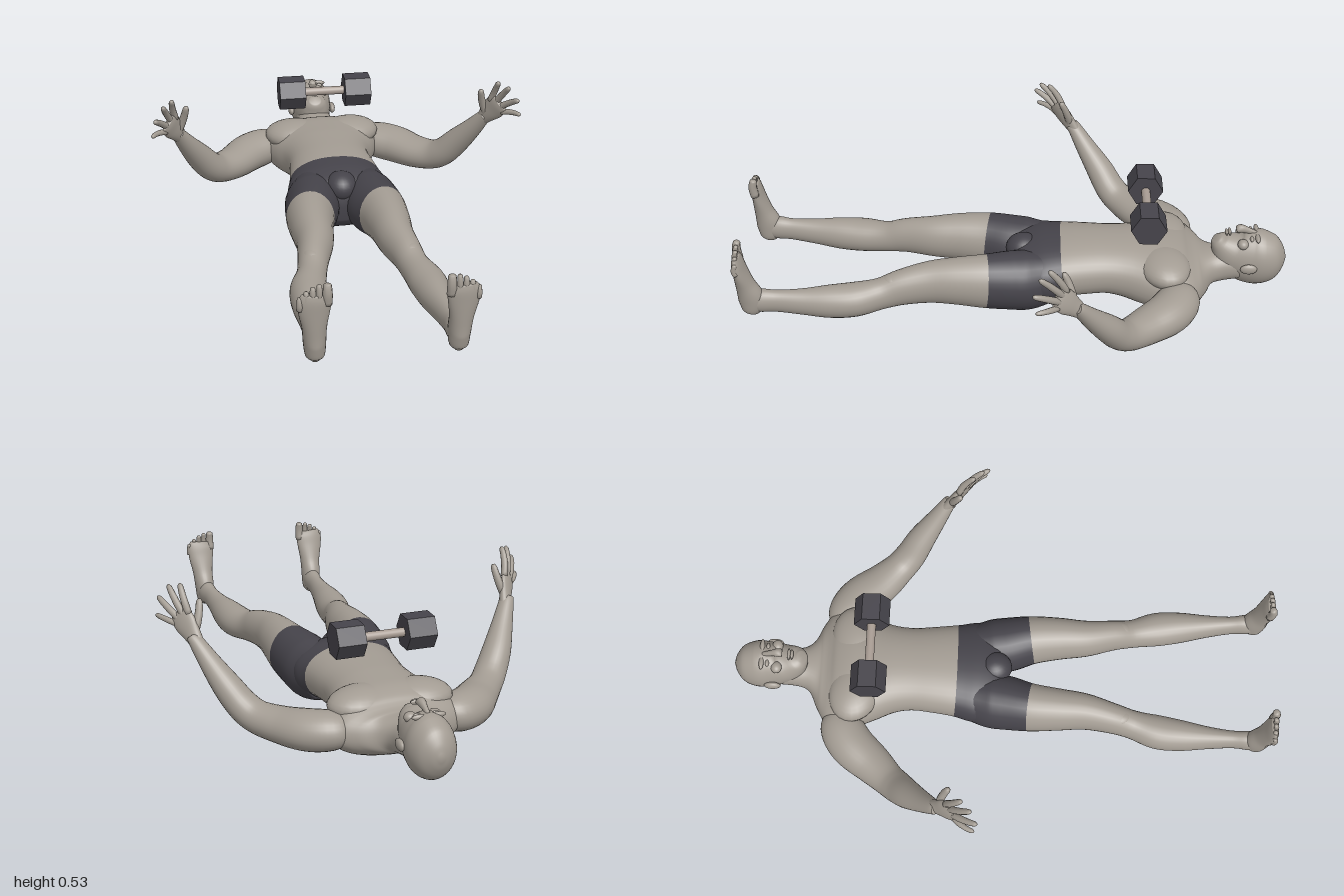
import * as THREE from 'three';

const skin = new THREE.MeshStandardMaterial({ color: 0xa39c93 });
skin.name = 'skin';
const cloth = new THREE.MeshStandardMaterial({ color: 0x45434a });
cloth.name = 'dark cloth';
const iron = new THREE.MeshStandardMaterial({ color: 0x46444b });
iron.name = 'dark iron';
const steel = new THREE.MeshStandardMaterial({ color: 0xa89c93 });
steel.name = 'handle steel';

// Smooth closed skin through elliptical sections [x, y, z, halfWidth, halfDepth].
// The width runs along ref. Rings for which isCloth(key) holds use the cloth material.
function loft(name, keys, ref, { seg = 28, steps = 5, power = 2, isCloth = null } = {}) {
  const path = new THREE.CatmullRomCurve3(keys.map(k => new THREE.Vector3(k[0], k[1], k[2])), false, 'catmullrom');
  const size = new THREE.CatmullRomCurve3(keys.map(k => new THREE.Vector3(k[3], k[4], 0)), false, 'catmullrom');
  const rings = (keys.length - 1) * steps;
  const pos = [], idx = [];
  const geo = new THREE.BufferGeometry();
  const bend = c => Math.sign(c) * Math.pow(Math.abs(c), 2 / power);
  for (let i = 0; i <= rings; i++) {
    const p = path.getPoint(i / rings), s = size.getPoint(i / rings), d = path.getTangent(i / rings);
    const u = ref.clone().addScaledVector(d, -ref.dot(d)).normalize();
    const v = d.clone().cross(u);
    for (let j = 0; j < seg; j++) {
      const a = j / seg * Math.PI * 2;
      const q = p.clone()
        .addScaledVector(u, Math.max(s.x, 0.002) * bend(Math.cos(a)))
        .addScaledVector(v, Math.max(s.y, 0.002) * bend(Math.sin(a)));
      pos.push(q.x, q.y, q.z);
    }
  }
  const first = pos.length / 3, end = keys[keys.length - 1];
  pos.push(...keys[0].slice(0, 3), ...end.slice(0, 3));
  const matOf = k => (isCloth && isCloth((keys[k][2] + keys[k + 1][2]) / 2) ? 1 : 0);
  for (let i = 0; i < rings; i++) {
    const start = idx.length;
    for (let j = 0; j < seg; j++) {
      const a = i * seg + j, b = i * seg + (j + 1) % seg;
      if (i === 0) idx.push(first, b, a);
      idx.push(a, b, b + seg, a, b + seg, a + seg);
      if (i === rings - 1) idx.push(first + 1, a + seg, b + seg);
    }
    geo.addGroup(start, idx.length - start, matOf(Math.floor(i / steps)));
  }
  geo.setAttribute('position', new THREE.Float32BufferAttribute(pos, 3));
  geo.setIndex(idx);
  geo.computeVertexNormals();
  if (!isCloth) geo.clearGroups();
  const mesh = new THREE.Mesh(geo, isCloth ? [skin, cloth] : skin);
  mesh.name = name;
  return mesh;
}

// Rounded soft form
function blob(name, p, r, mat = skin) {
  const mesh = new THREE.Mesh(new THREE.SphereGeometry(1, 24, 16), mat);
  mesh.position.set(...p);
  mesh.scale.set(...r);
  mesh.name = name;
  return mesh;
}

// Finger or toe through a few points
function digit(name, pts, r, ref) {
  const curve = new THREE.CatmullRomCurve3(pts.map(p => new THREE.Vector3(...p)));
  const keys = [[0, 1], [0.35, 1], [0.7, 0.9], [0.92, 0.75], [1, 0.35]].map(([t, k]) => {
    const p = curve.getPoint(t);
    return [p.x, p.y, p.z, r * k, r * k];
  });
  return loft(name, keys, ref, { seg: 10, steps: 3 });
}

function buildLimbs(s) {
  const g = new THREE.Group();
  g.name = s > 0 ? 'leftLimbs' : 'rightLimbs';
  const flip = keys => keys.map(k => [k[0] * s, ...k.slice(1)]);
  const X = new THREE.Vector3(1, 0, 0);

  // Leg, with the short's leg as its upper rings
  g.add(loft('leg', flip([
    [0.095, 0.135, -0.16, 0.07, 0.09], [0.105, 0.125, -0.06, 0.098, 0.113],
    [0.115, 0.13, 0.01, 0.1, 0.112], [0.133, 0.138, 0.1, 0.088, 0.105],
    [0.14, 0.143, 0.2, 0.077, 0.093], [0.144, 0.14, 0.3, 0.066, 0.082],
    [0.163, 0.13, 0.4, 0.055, 0.07], [0.18, 0.112, 0.48, 0.052, 0.06],
    [0.203, 0.103, 0.57, 0.063, 0.063], [0.214, 0.101, 0.66, 0.057, 0.062],
    [0.221, 0.104, 0.76, 0.041, 0.051], [0.226, 0.11, 0.85, 0.031, 0.044],
    [0.23, 0.115, 0.91, 0.034, 0.046], [0.232, 0.112, 0.955, 0.03, 0.035],
  ]), X, { isCloth: z => z < 0.1 }));
  g.add(blob('kneecap', [0.172 * s, 0.155, 0.43], [0.036, 0.034, 0.05]));

  // Foot and toes
  g.add(loft('foot', flip([
    [0.232, 0.06, 0.945, 0.012, 0.014], [0.232, 0.08, 0.942, 0.031, 0.036],
    [0.233, 0.13, 0.94, 0.037, 0.048], [0.235, 0.19, 0.956, 0.04, 0.035],
    [0.237, 0.25, 0.969, 0.05, 0.025], [0.236, 0.29, 0.976, 0.053, 0.019],
    [0.234, 0.315, 0.979, 0.044, 0.012],
  ]), X));
  for (let i = 0; i < 5; i++) {
    const x = (0.196 + i * 0.0205 + (i ? 0.005 : 0)) * s, tip = 0.352 - i * i * 0.0027;
    g.add(digit('toe', [[x, 0.28 - i * 0.004, 0.976], [x, tip - 0.025, 0.982], [x, tip, 0.975]], i ? 0.0105 : 0.016, X));
  }

  // Arm from shoulder to wrist
  const out = new THREE.Vector3(0.69 * s, 0, -0.72);
  g.add(loft('arm', flip([
    [0.18, 0.128, -0.6, 0.06, 0.055], [0.23, 0.125, -0.592, 0.08, 0.068],
    [0.295, 0.12, -0.55, 0.083, 0.07], [0.36, 0.117, -0.475, 0.074, 0.062],
    [0.42, 0.127, -0.412, 0.061, 0.057], [0.46, 0.158, -0.37, 0.058, 0.054],
    [0.502, 0.218, -0.328, 0.052, 0.049], [0.545, 0.29, -0.275, 0.039, 0.037],
    [0.58, 0.355, -0.23, 0.028, 0.025], [0.588, 0.37, -0.216, 0.026, 0.018],
  ]), out));

  // Palm, fingers and thumb
  const w = new THREE.Vector3(-0.6 * s, 0.66, -0.45);
  g.add(loft('palm', flip([
    [0.573, 0.342, -0.237, 0.024, 0.02], [0.588, 0.376, -0.208, 0.034, 0.019],
    [0.602, 0.404, -0.185, 0.043, 0.017], [0.613, 0.427, -0.164, 0.042, 0.014],
    [0.62, 0.44, -0.151, 0.034, 0.009],
  ]), w));
  const tips = [[0.605, 0.533, -0.125], [0.638, 0.522, -0.093], [0.67, 0.477, -0.073], [0.681, 0.415, -0.083]];
  tips.forEach((t, i) => {
    const k = 0.031 - i * 0.0207;
    const base = [0.61 - 0.6 * k, 0.421 + 0.66 * k, -0.169 - 0.45 * k];
    const mid = base.map((b, n) => (b + t[n]) / 2 + [0.004, 0.003, -0.006][n]);
    g.add(digit('finger', flip([base, mid, t]), i === 3 ? 0.0105 : 0.0125, w));
  });
  g.add(digit('thumb', flip([[0.583, 0.375, -0.21], [0.562, 0.43, -0.198], [0.55, 0.488, -0.173]]), 0.0145, w));

  // Chest muscle
  const pec = blob('chestMuscle', [0.1 * s, 0.19, -0.545], [0.125, 0.058, 0.095]);
  pec.rotation.y = 0.25 * s;
  g.add(pec);

  // Ear, brow, eye and cheek
  g.add(blob('ear', [0.085 * s, 0.165, -0.857], [0.012, 0.02, 0.031]));
  g.add(blob('brow', [0.031 * s, 0.266, -0.888], [0.028, 0.01, 0.009]));
  g.add(blob('eye', [0.032 * s, 0.263, -0.867], [0.014, 0.009, 0.007]));
  g.add(blob('cheek', [0.042 * s, 0.246, -0.835], [0.022, 0.018, 0.02]));
  return g;
}

function buildBody() {
  const g = new THREE.Group();
  g.name = 'body';
  const X = new THREE.Vector3(1, 0, 0);
  // Torso from crotch to neck, with the shorts as its lower rings
  g.add(loft('torso', [
    [0, 0.13, 0.02, 0.06, 0.05], [0, 0.13, -0.02, 0.16, 0.095],
    [0, 0.135, -0.1, 0.19, 0.113], [0, 0.146, -0.18, 0.175, 0.108],
    [0, 0.15, -0.26, 0.164, 0.106], [0, 0.151, -0.34, 0.157, 0.104],
    [0, 0.145, -0.41, 0.167, 0.11], [0, 0.135, -0.48, 0.195, 0.117],
    [0, 0.127, -0.55, 0.222, 0.12], [0, 0.122, -0.61, 0.235, 0.108],
    [0, 0.122, -0.65, 0.22, 0.088], [0, 0.126, -0.685, 0.165, 0.073],
    [0, 0.132, -0.715, 0.1, 0.065], [0, 0.136, -0.755, 0.073, 0.063],
    [0, 0.145, -0.83, 0.068, 0.06],
  ], X, { seg: 40, power: 2.2, isCloth: z => z > -0.18 }));
  g.add(blob('shortsFront', [0, 0.195, -0.035], [0.06, 0.055, 0.065], cloth));

  // Head
  g.add(loft('head', [
    [0, 0.248, -0.742, 0.022, 0.02], [0, 0.228, -0.758, 0.047, 0.044],
    [0, 0.19, -0.8, 0.066, 0.085], [0, 0.17, -0.86, 0.078, 0.108],
    [0, 0.165, -0.91, 0.083, 0.109], [0, 0.165, -0.96, 0.068, 0.087],
    [0, 0.165, -0.988, 0.037, 0.048], [0, 0.165, -1, 0.008, 0.01],
  ], X, { seg: 36 }));
  g.add(loft('nose', [
    [0, 0.268, -0.885, 0.008, 0.008], [0, 0.28, -0.855, 0.01, 0.012],
    [0, 0.288, -0.828, 0.015, 0.016], [0, 0.284, -0.812, 0.016, 0.01],
  ], X, { seg: 14 }));
  g.add(blob('upperLip', [0, 0.274, -0.788], [0.023, 0.009, 0.006]));
  g.add(blob('lowerLip', [0, 0.272, -0.777], [0.019, 0.009, 0.006]));
  return g;
}

// Dumbbell floating over the chest
function buildDumbbell() {
  const g = new THREE.Group();
  g.name = 'dumbbell';
  const bar = new THREE.Mesh(new THREE.CylinderGeometry(0.016, 0.016, 0.16, 24), steel);
  bar.name = 'handle';
  bar.rotation.z = Math.PI / 2;
  g.add(bar);
  for (const s of [-1, 1]) {
    const geo = new THREE.CylinderGeometry(0.064, 0.064, 0.1, 6).toNonIndexed();
    geo.computeVertexNormals();
    const weight = new THREE.Mesh(geo, iron);
    weight.name = 'weight';
    weight.rotation.z = Math.PI / 2;
    weight.position.x = 0.127 * s;
    g.add(weight);
  }
  g.position.set(0, 0.395, -0.48);
  return g;
}

export function createModel() {
  const model = new THREE.Group();
  model.name = 'lyingMan';
  model.add(buildBody(), buildLimbs(1), buildLimbs(-1), buildDumbbell());
  return model;
}
